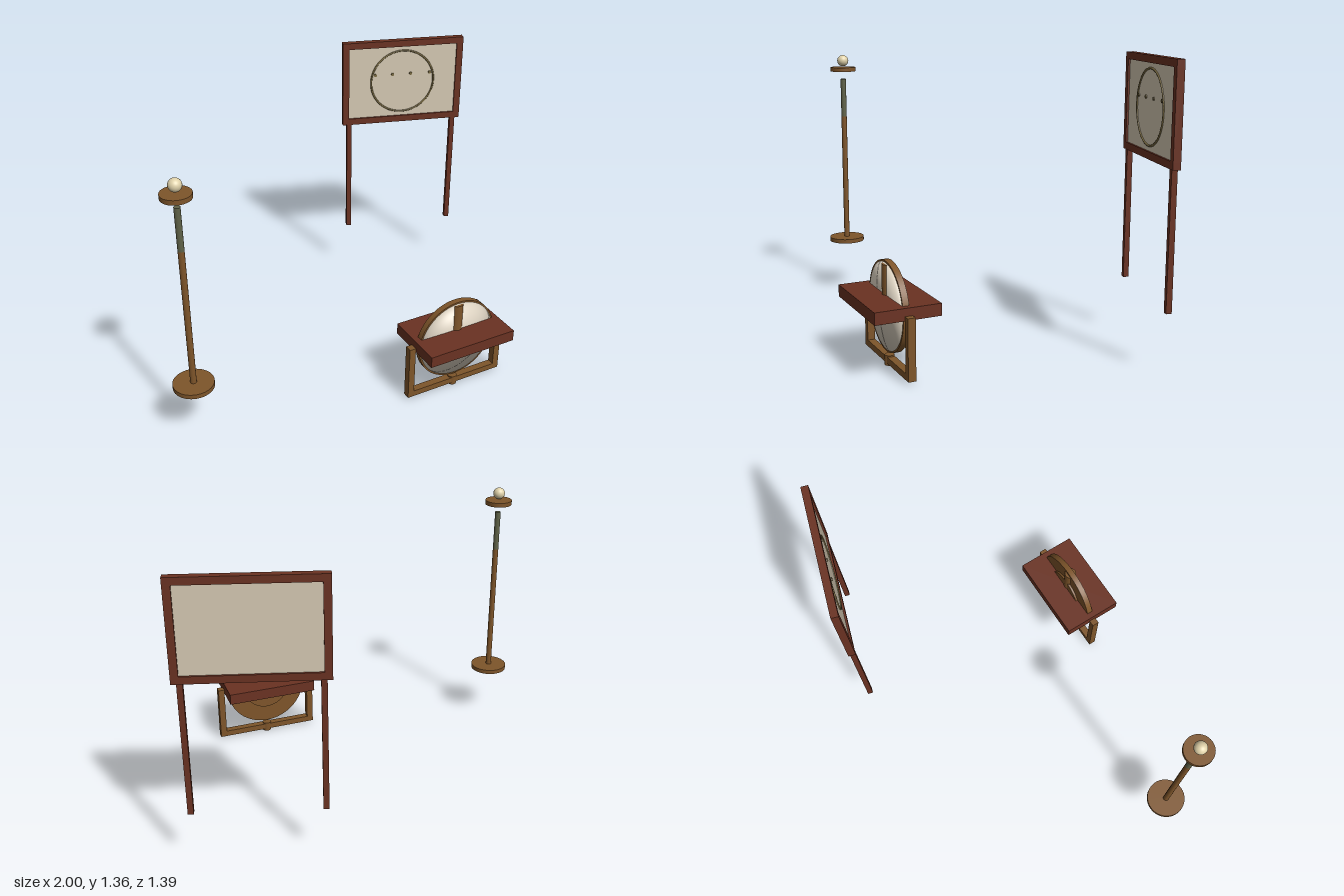
import * as THREE from 'three';

const mat = (name, color) => Object.assign(new THREE.MeshStandardMaterial({ color }), { name });

export function createModel() {
  const mahogany = mat('mahogany', 0x6a3222);
  const bronze = mat('bronze', 0x7e552a);
  const patina = mat('patina', 0x5f6248);
  const paper = mat('paper', 0xd6cab4);
  const lensWhite = mat('lensWhite', 0xddd3c2);
  const ivory = mat('ivory', 0xe0d2aa);
  const olive = mat('olive', 0x7a6b42);

  const model = new THREE.Group();
  const add = (parent, name, geometry, material, x, y, z) => {
    const mesh = new THREE.Mesh(geometry, material);
    mesh.name = name;
    mesh.position.set(x, y, z);
    parent.add(mesh);
    return mesh;
  };
  const group = (name, x, y, z) => {
    const g = new THREE.Group();
    g.name = name;
    g.position.set(x, y, z);
    model.add(g);
    return g;
  };
  const box = (w, h, d) => new THREE.BoxGeometry(w, h, d);
  const rod = (r, h, sides = 40) => new THREE.CylinderGeometry(r, r, h, sides);
  const disc = (r, h) => rod(r, h, 64).rotateX(Math.PI / 2);

  // Tall stand with a floating dish and ball
  const stand = group('stand', -0.906, 0, 0.308);
  add(stand, 'standBase', rod(0.094, 0.022), bronze, 0, 0.284, 0);
  add(stand, 'standPole', rod(0.0145, 0.685, 20), bronze, 0, 0.6325, 0);
  add(stand, 'standPoleTop', rod(0.0145, 0.205, 20), patina, 0, 1.0775, 0);
  add(stand, 'standDish', rod(0.068, 0.022), bronze, 0, 1.233, 0);
  add(stand, 'standBall', new THREE.SphereGeometry(0.03, 32, 20), ivory, 0, 1.279, 0);

  // Framed notice board on two posts, turned towards the middle
  const board = group('noticeBoard', 0.682, 1.134, -0.585);
  board.rotation.y = -0.298;
  const W = 0.655, H = 0.46, D = 0.035, B = 0.034;
  for (const s of [-1, 1]) {
    add(board, 'frameRail', box(W, B, D), mahogany, 0, s * (H - B) / 2, 0);
    add(board, 'frameStile', box(B, H - 2 * B, D), mahogany, s * (W - B) / 2, 0, 0);
    add(board, 'boardPost', box(0.026, 0.631, 0.026), mahogany, s * 0.292, -0.5445, 0);
  }
  add(board, 'boardPanel', box(W - 2 * B, H - 2 * B, 0.016), paper, 0, 0, 0);
  add(board, 'dialRing', new THREE.TorusGeometry(0.172, 0.005, 8, 72), olive, 0, 0, 0.009);
  for (const x of [-0.15, -0.055, 0.045, 0.15]) {
    add(board, 'dialMark', disc(0.008, 0.006), olive, x, 0.042, 0.01);
  }

  // Upright mirror disc held in a U-shaped cradle
  const mirror = group('mirrorStand', 0.332, 0, 0.542);
  const cy = 0.273;
  add(mirror, 'mirrorBody', disc(0.208, 0.03), bronze, 0, cy, 0);
  add(mirror, 'mirrorBackPlate', disc(0.118, 0.012), bronze, 0, cy, -0.02);
  add(mirror, 'mirrorKnob', new THREE.SphereGeometry(0.031, 28, 18), bronze, 0, cy, -0.025);

  // The glass is a dome pressed nearly flat that keeps its rounded normals
  const glass = new THREE.SphereGeometry(0.2, 64, 16, 0, Math.PI * 2, 0, Math.PI / 2).rotateX(Math.PI / 2);
  const p = glass.attributes.position;
  for (let i = 0; i < p.count; i++) p.setZ(i, p.getZ(i) * 0.02);
  add(mirror, 'mirrorGlass', glass, lensWhite, 0, cy, 0.0152);

  add(mirror, 'mirrorPost', rod(0.03, 0.16, 28), bronze, 0, 0.386, 0);
  add(mirror, 'shelf', box(0.46, 0.056, 0.308), mahogany, 0, 0.301, 0);

  // Cradle: two arms, a crossbar and a foot
  for (const s of [-1, 1]) {
    add(mirror, 'cradleArm', box(0.032, 0.282, 0.036), bronze, s * 0.246, 0.152, 0);
  }
  add(mirror, 'cradleBar', box(0.46, 0.03, 0.036), bronze, 0, 0.026, 0);
  add(mirror, 'cradleFoot', rod(0.0225, 0.047, 20), bronze, 0, 0.0235, 0);

  return model;
}
